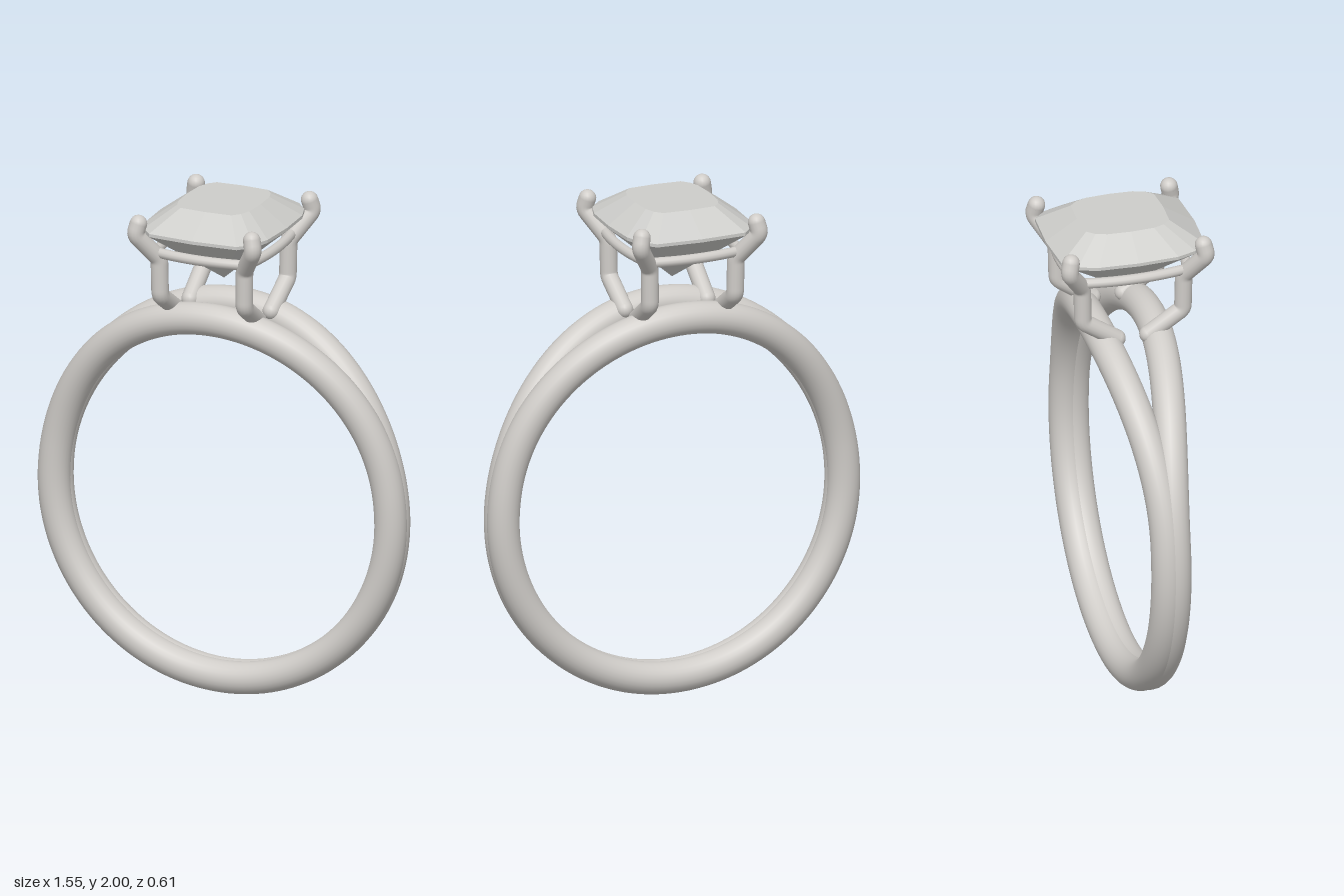
import * as THREE from 'three';

const metal = new THREE.MeshStandardMaterial({ color: 0xcfccc8 });
metal.name = 'silver metal';
const stone = new THREE.MeshStandardMaterial({ color: 0xcdcdca, flatShading: true });
stone.name = 'clear stone';

function addMesh(parent, name, geometry, material) {
  const mesh = new THREE.Mesh(geometry, material);
  mesh.name = name;
  parent.add(mesh);
  return mesh;
}

// One strand of the split shank: nearly round, drifting sideways near the top
class StrandCurve extends THREE.Curve {
  constructor(side) {
    super();
    this.side = side;
  }
  getPoint(t, target = new THREE.Vector3()) {
    const a = t * Math.PI * 2 - Math.PI; // 0 is the top of the ring
    const c = Math.cos(a);
    const spread = 0.5 + 0.5 * Math.cos(Math.PI * Math.min(1, Math.abs(a) / 1.4));
    return target.set(
      0.7125 * Math.sin(a),
      0.78 + (c > 0 ? 0.763 : 0.716) * c,
      this.side * (0.0145 + 0.0985 * spread)
    );
  }
}

// Polyline with softened bends
function softPath(points, bend) {
  const path = new THREE.CurvePath();
  let from = points[0];
  for (let i = 1; i < points.length - 1; i++) {
    const p = points[i];
    const before = p.clone().add(points[i - 1].clone().sub(p).setLength(bend));
    const after = p.clone().add(points[i + 1].clone().sub(p).setLength(bend));
    path.add(new THREE.LineCurve3(from, before));
    path.add(new THREE.QuadraticBezierCurve3(before, p, after));
    from = after;
  }
  path.add(new THREE.LineCurve3(from, points[points.length - 1]));
  return path;
}

// Bent claw running from the strand up around a corner of the stone
function makeProng(sx, sz) {
  const r = 0.034;
  const points = [
    [0.172, 1.55, 0.062],
    [0.178, 1.645, 0.2],
    [0.18, 1.795, 0.203],
    [0.25, 1.905, 0.275],
    [0.24, 1.948, 0.265]
  ].map(([x, y, z]) => new THREE.Vector3(x * sx, y, z * sz));
  const prong = new THREE.Group();
  prong.name = 'prong';
  addMesh(prong, 'prongWire', new THREE.TubeGeometry(softPath(points, 0.02), 64, r, 16), metal);
  for (const end of [points[0], points[points.length - 1]]) {
    addMesh(prong, 'prongTip', new THREE.SphereGeometry(r, 16, 12), metal).position.copy(end);
  }
  return prong;
}

// Cushion-cut stone: one outline scaled up a profile of heights
function makeStoneGeometry() {
  const quarter = [[0.267, 0], [0.258, 0.16], [0.232, 0.235], [0.185, 0.287], [0, 0.298]];
  const half = [...quarter, ...quarter.slice(0, 4).reverse().map(([x, z]) => [-x, z])];
  const outline = [...half, ...half.slice(1, -1).reverse().map(([x, z]) => [x, -z])];
  const profile = [[0, 1.68], [0.7, 1.84], [1, 1.907], [1, 1.92], [0.58, 2], [0, 2]];
  const n = outline.length;
  const position = [];
  const corner = (ring, i) => {
    const [s, y] = profile[ring];
    const [x, z] = outline[i % n];
    return [x * s, y, z * s];
  };
  for (let k = 0; k < profile.length - 1; k++) {
    for (let i = 0; i < n; i++) {
      const a = corner(k, i), b = corner(k + 1, i);
      const c = corner(k, i + 1), d = corner(k + 1, i + 1);
      if (profile[k][0] > 0) position.push(...a, ...b, ...c);
      if (profile[k + 1][0] > 0) position.push(...c, ...b, ...d);
    }
  }
  const geometry = new THREE.BufferGeometry();
  geometry.setAttribute('position', new THREE.Float32BufferAttribute(position, 3));
  geometry.computeVertexNormals();
  return geometry;
}

export function createModel() {
  const ring = new THREE.Group();
  ring.name = 'ring';

  // Two strands merge into one band below
  for (const side of [1, -1]) {
    addMesh(ring, 'shankStrand', new THREE.TubeGeometry(new StrandCurve(side), 160, 0.0635, 24, true), metal);
  }

  // Four claws
  for (const sx of [1, -1]) for (const sz of [1, -1]) ring.add(makeProng(sx, sz));

  // Bowed rails joining the claws under the stone
  const y = 1.823;
  for (const s of [1, -1]) {
    const frontBack = new THREE.QuadraticBezierCurve3(
      new THREE.Vector3(-0.19, y, s * 0.213), new THREE.Vector3(0, y, s * 0.26), new THREE.Vector3(0.19, y, s * 0.213));
    const sides = new THREE.QuadraticBezierCurve3(
      new THREE.Vector3(s * 0.19, y, -0.213), new THREE.Vector3(s * 0.235, y, 0), new THREE.Vector3(s * 0.19, y, 0.213));
    for (const curve of [frontBack, sides]) {
      addMesh(ring, 'settingRail', new THREE.TubeGeometry(curve, 24, 0.02, 12), metal);
    }
  }

  addMesh(ring, 'stone', makeStoneGeometry(), stone);
  return ring;
}
